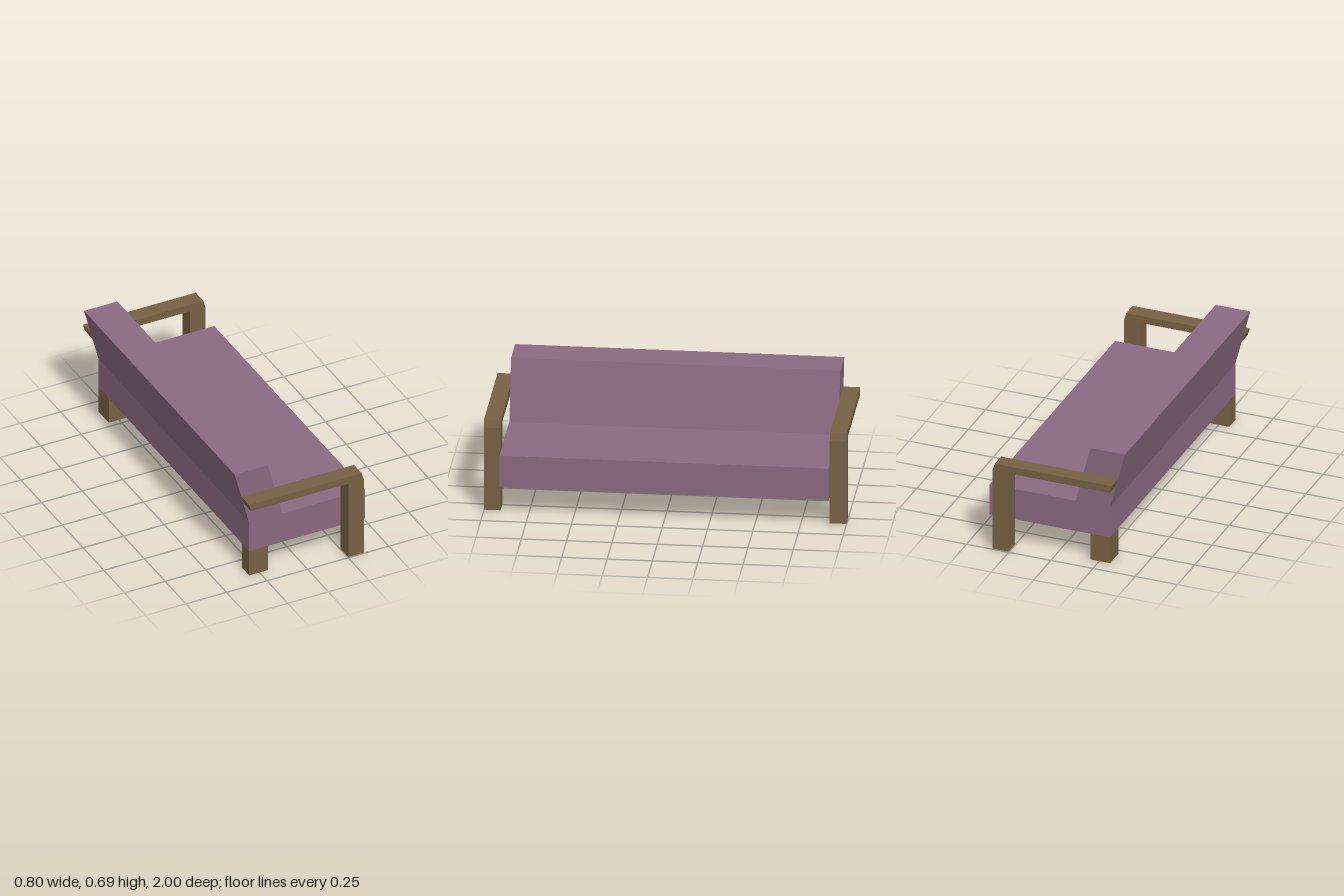
import * as THREE from 'three';

const fabric = new THREE.MeshStandardMaterial({ color: 0x8a6a82, flatShading: true });
const wood = new THREE.MeshStandardMaterial({ color: 0x776144, flatShading: true });

// Extrude a side profile (x, y) from z0 to z1
function slab(name, points, z0, z1, material) {
  const shape = new THREE.Shape(points.map(([x, y]) => new THREE.Vector2(x, y)));
  const geometry = new THREE.ExtrudeGeometry(shape, { depth: z1 - z0, bevelEnabled: false });
  geometry.translate(0, 0, z0);
  const mesh = new THREE.Mesh(geometry, material);
  mesh.name = name;
  return mesh;
}

export function createModel() {
  const sofa = new THREE.Group();
  sofa.name = 'sofa';

  // Seat and leaning backrest share one upholstered profile
  sofa.add(slab('seatAndBackrest', [
    [-0.313, 0.16], [0.4, 0.16], [0.4, 0.347], [-0.109, 0.347],
    [-0.197, 0.691], [-0.402, 0.691], [-0.313, 0.347],
  ], -0.908, 0.908, fabric));

  // Armrest and front leg in one piece, one at each end
  const arm = [
    [0.251, 0.004], [0.346, 0.004], [0.346, 0.488], [0.333, 0.533],
    [-0.361, 0.533], [-0.349, 0.489], [0.251, 0.489],
  ];
  sofa.add(slab('leftArm', arm, -1, -0.908, wood));
  sofa.add(slab('rightArm', arm, 0.908, 1, wood));

  // Short rear legs, flush with the ends of the seat
  const leg = [[-0.313, 0], [-0.197, 0], [-0.197, 0.16], [-0.313, 0.16]];
  sofa.add(slab('leftRearLeg', leg, -0.908, -0.784, wood));
  sofa.add(slab('rightRearLeg', leg, 0.82, 0.908, wood));

  return sofa;
}
